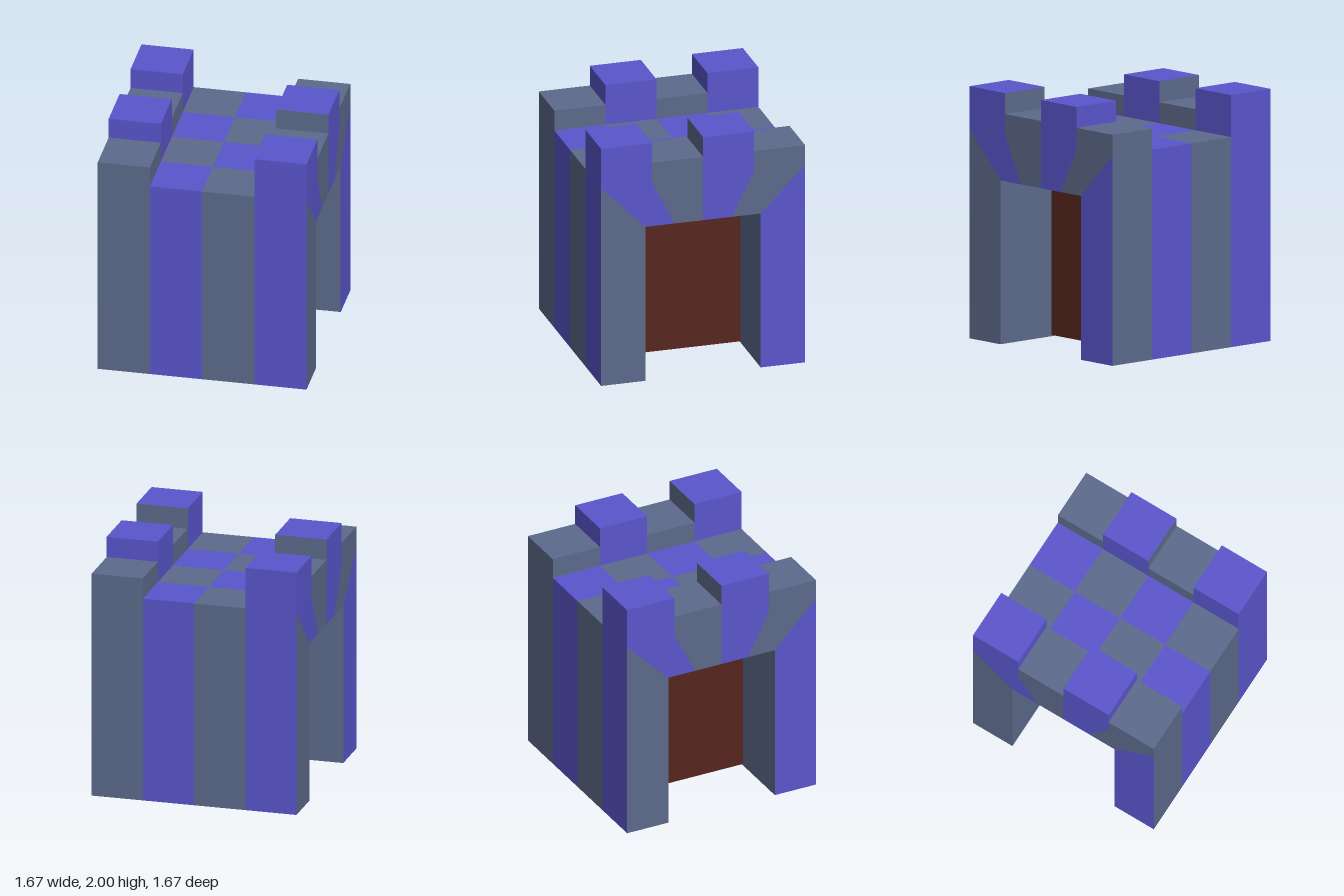
import * as THREE from 'three';

const H = 5 / 6, Q = H / 2;                  // half width, checker cell
const DECK = 2 * H, LOW = DECK + Q * 0.4, HIGH = 2;
const GATE = 0.47, ARCH = 1.3;               // gate half width and height

const blue = new THREE.MeshStandardMaterial({ color: 0x5a55cc });
const grey = new THREE.MeshStandardMaterial({ color: 0x5c6a8b });
const brown = new THREE.MeshStandardMaterial({ color: 0x57261e });

// Flat convex panel; corners run counter-clockwise seen from outside
function panel(parent, name, material, corners) {
  const pos = [];
  for (let i = 1; i < corners.length - 1; i++) pos.push(...corners[0], ...corners[i], ...corners[i + 1]);
  const geo = new THREE.BufferGeometry();
  geo.setAttribute('position', new THREE.Float32BufferAttribute(pos, 3));
  geo.computeVertexNormals();
  const mesh = new THREE.Mesh(geo, material);
  mesh.name = name;
  parent.add(mesh);
}

// Axis-aligned rectangles facing along x, y or z (dir = 1 or -1)
const order = (dir, c) => (dir > 0 ? c : c.reverse());
const faceX = (p, n, m, dir, x, z0, z1, y0, y1) =>
  panel(p, n, m, order(dir, [[x, y0, z1], [x, y0, z0], [x, y1, z0], [x, y1, z1]]));
const faceY = (p, n, m, dir, y, x0, x1, z0, z1) =>
  panel(p, n, m, order(dir, [[x0, y, z1], [x1, y, z1], [x1, y, z0], [x0, y, z0]]));
const faceZ = (p, n, m, dir, z, x0, x1, y0, y1) =>
  panel(p, n, m, order(dir, [[x0, y0, z], [x1, y0, z], [x1, y1, z], [x0, y1, z]]));

// Half of the tower: one striped wall, one gate side, one row of merlons
function buildHalf(name, cornerInnerMaterial) {
  const half = new THREE.Group();
  half.name = name;

  // Striped wall
  [LOW, DECK, DECK, HIGH].forEach((top, i) =>
    faceZ(half, 'wallStripe', i % 2 ? blue : grey, 1, H, -H + i * Q, -H + (i + 1) * Q, 0, top));

  for (let i = 0; i < 4; i++) {
    const z0 = -H + i * Q, z1 = z0 + Q, high = i % 2 === 1;
    const top = high ? HIGH : LOW, mat = high ? blue : grey;
    const k = GATE / H;
    // Checkered deck
    faceY(half, 'deckTile', high ? grey : blue, 1, DECK, 0, Q, z0, z1);
    // Merlon top, outer and inner faces
    faceY(half, 'merlonTop', mat, 1, top, Q, H, z0, z1);
    faceX(half, 'merlonOuter', mat, 1, H, z0, z1, DECK, top);
    faceX(half, 'merlonInner', mat, -1, Q, z0, z1, DECK, top);
    // Tapered stone above the gate
    panel(half, 'archStone', mat, [[H, ARCH, z1 * k], [H, ARCH, z0 * k], [H, DECK, z0], [H, DECK, z1]]);
  }
  // Exposed steps between high and low merlons
  faceZ(half, 'merlonStep', cornerInnerMaterial, -1, Q, Q, H, LOW, HIGH);
  faceZ(half, 'merlonStep', grey, 1, 0, Q, H, LOW, HIGH);
  faceZ(half, 'merlonStep', blue, -1, -Q, Q, H, LOW, HIGH);

  // Gate piers
  panel(half, 'gatePier', grey, [[H, 0, H], [H, 0, GATE], [H, ARCH, GATE], [H, DECK, H]]);
  panel(half, 'gatePier', blue, [[H, 0, -GATE], [H, 0, -H], [H, DECK, -H], [H, ARCH, -GATE]]);

  // Passage wall, ceiling and underside
  faceZ(half, 'passageWall', grey, -1, GATE, -H, H, 0, ARCH);
  faceY(half, 'passageCeiling', grey, -1, ARCH, 0, H, -GATE, GATE);
  faceY(half, 'pierBase', grey, -1, 0, -H, H, GATE, H);
  return half;
}

export function createModel() {
  const model = new THREE.Group();
  model.name = 'castleTower';
  const front = buildHalf('frontHalf', grey);
  const back = buildHalf('backHalf', blue);
  back.rotation.y = Math.PI;
  model.add(front, back);

  // Door block filling the middle of the passage
  const door = new THREE.Mesh(new THREE.BoxGeometry(0.59, ARCH - 0.01, GATE * 2), brown);
  door.name = 'door';
  door.position.y = (ARCH + 0.01) / 2;
  model.add(door);
  return model;
}
